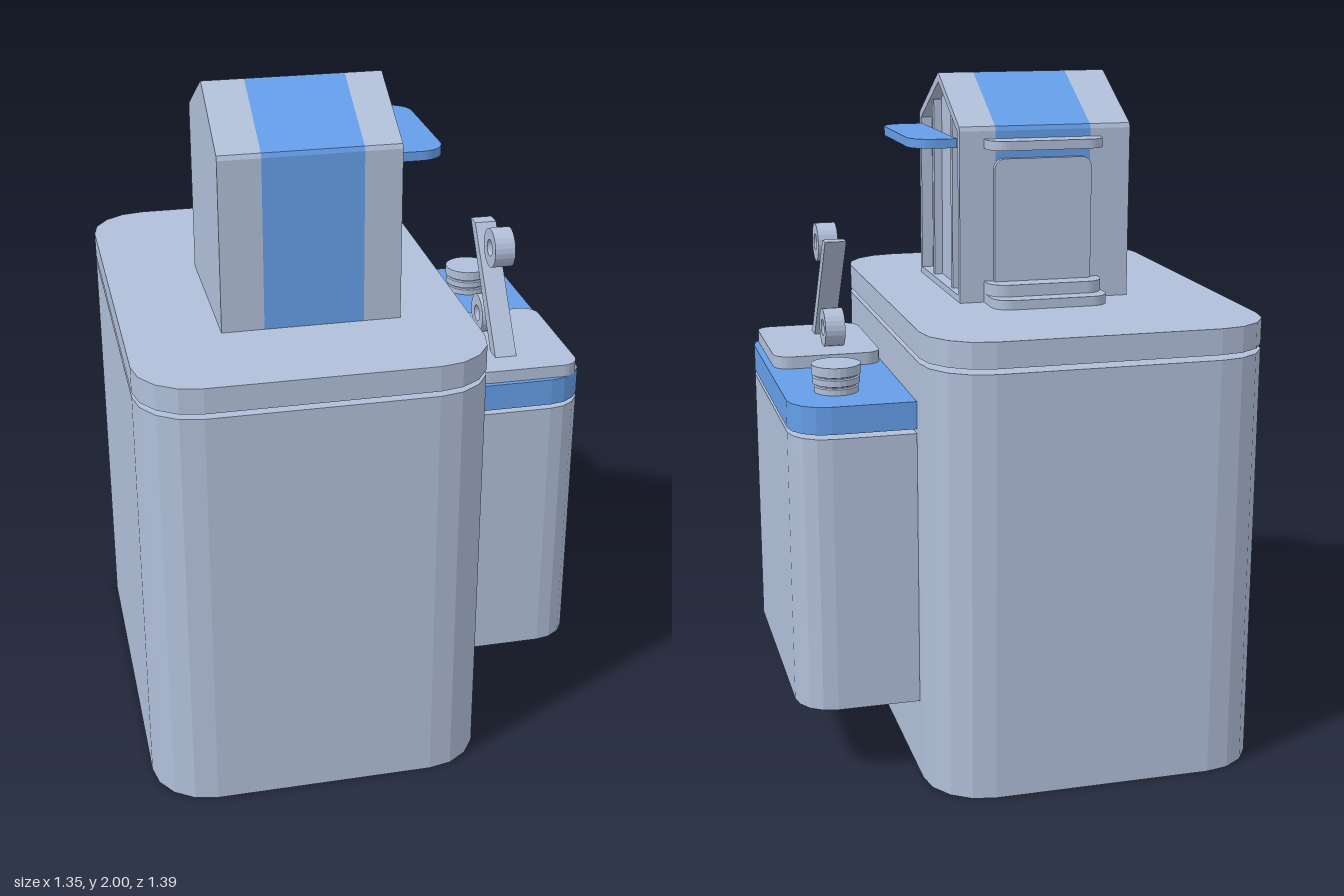
import * as THREE from 'three';

const grey = new THREE.MeshStandardMaterial({ color: 0xb1bfd9 });
const blue = new THREE.MeshStandardMaterial({ color: 0x659ee8 });
const greyOpen = new THREE.MeshStandardMaterial({ color: 0xb1bfd9, side: THREE.DoubleSide });

// Rectangle outline with corner radii: [lower left, lower right, upper right, upper left]
function roundedRect(a0, a1, b0, b1, [ll, lr, ur, ul]) {
  const s = new THREE.Shape();
  const P = Math.PI;
  const corner = (x, y, r, start) => {
    if (r > 0) s.absarc(x, y, r, start, start + P / 2, false);
    else s.lineTo(x, y);
  };
  s.moveTo(a0 + ll, b0);
  s.lineTo(a1 - lr, b0);
  corner(a1 - lr, b0 + lr, lr, -P / 2);
  corner(a1 - ur, b1 - ur, ur, 0);
  corner(a0 + ul, b1 - ul, ul, P / 2);
  corner(a0 + ll, b0 + ll, ll, P);
  return s;
}

const extrude = (shape, depth, curveSegments = 4) =>
  new THREE.ExtrudeGeometry(shape, { depth, bevelEnabled: false, curveSegments });

// Horizontal slab; radii run front left, front right, back right, back left as seen from the front
function slabGeometry(x0, x1, y0, y1, z0, z1, radii, segments = 4) {
  return extrude(roundedRect(x0, x1, -z1, -z0, radii), y1 - y0, segments)
    .rotateX(-Math.PI / 2).translate(0, y0, 0);
}

// Side profile given as [z, y] points, extruded along x
function profileGeometry(shape, x0, x1, segments) {
  return extrude(shape, x1 - x0, segments).rotateY(Math.PI / 2).translate(x0, 0, 0);
}
const zyPoints = (pts) => pts.map(([z, y]) => new THREE.Vector2(-z, y));

// Remove the downward faces of a solid, leaving it open below
function openBottom(geo) {
  const n = geo.attributes.normal, p = geo.attributes.position, keep = [];
  for (let i = 0; i < p.count; i += 3) {
    if (n.getY(i) < -0.9) continue;
    for (let k = i; k < i + 3; k++) keep.push(p.getX(k), p.getY(k), p.getZ(k));
  }
  const out = new THREE.BufferGeometry();
  out.setAttribute('position', new THREE.Float32BufferAttribute(keep, 3));
  out.computeVertexNormals();
  return out;
}

export function createModel() {
  const model = new THREE.Group();
  model.name = 'platformWithHouse';
  const add = (name, geo, mat = grey, parent = model) => {
    const m = new THREE.Mesh(geo, mat);
    m.name = name;
    parent.add(m);
  };
  const box = (x0, x1, y0, y1, z0, z1) => new THREE.BoxGeometry(x1 - x0, y1 - y0, z1 - z0)
    .translate((x0 + x1) / 2, (y0 + y1) / 2, (z0 + z1) / 2);

  // Main block, open underneath, with floating cap
  const R = [0.175, 0.175, 0.175, 0.175];
  add('mainBlock', openBottom(slabGeometry(-0.675, 0.323, 0, 1.255, -0.697, 0.697, R, 2)), greyOpen);
  add('mainCap', slabGeometry(-0.675, 0.323, 1.27, 1.345, -0.697, 0.697, R, 2));

  // Lower side block, open underneath, with its blue cap
  const S = [0, 0.11, 0.11, 0];
  add('sideBlock', openBottom(slabGeometry(0.324, 0.675, 0.23, 1.045, -0.488, 0.43, S, 2)), greyOpen);
  add('sideCap', slabGeometry(0.324, 0.675, 1.058, 1.138, -0.488, 0.43, S, 2), blue);

  // House: gabled solid in bands along x, with a recessed open gable on the left
  const house = new THREE.Group();
  house.name = 'house';
  model.add(house);
  const gable = [[0.35, 1.345], [0.35, 1.85], [0.344, 1.863], [0.095, 1.998], [0.088, 2], [0.081, 1.998],
    [-0.173, 1.863], [-0.178, 1.85], [-0.178, 1.345]];
  const gableShape = () => new THREE.Shape(zyPoints(gable));
  add('houseRightBand', profileGeometry(gableShape(), -0.398, -0.275), grey, house);
  add('houseStripe', profileGeometry(gableShape(), -0.275, 0.014), blue, house);
  add('houseLeftBand', profileGeometry(gableShape(), 0.014, 0.087), grey, house);
  const frame = gableShape();
  frame.holes.push(new THREE.Path(zyPoints([[0.327, 1.365], [-0.155, 1.365],
    [-0.155, 1.845], [0.088, 1.973], [0.327, 1.845]])));
  add('gableFrame', profileGeometry(frame, 0.087, 0.122), grey, house);
  for (const z of [0.203, -0.036])
    add('gablePost', box(0.083, 0.112, 1.36, 1.912, z - 0.011, z + 0.011), grey, house);

  // Awning over the gable side
  add('sideAwning', slabGeometry(0.122, 0.257, 1.8, 1.827, -0.146, 0.315, [0, 0.07, 0.07, 0]), blue, house);

  // Back door with steps and a small canopy
  const door = extrude(roundedRect(-0.275, 0.02, 1.4, 1.77, [0, 0, 0.03, 0.03]), 0.018)
    .translate(0, 0, -0.196);
  add('backDoor', door, grey, house);
  const B = [0, 0, 0.055, 0.055];
  add('lowerStep', slabGeometry(-0.303, 0.048, 1.345, 1.373, -0.31, -0.178, B), grey, house);
  add('upperStep', slabGeometry(-0.303, 0.048, 1.373, 1.408, -0.256, -0.178, B), grey, house);
  add('backCanopy', slabGeometry(-0.303, 0.048, 1.8, 1.827, -0.256, -0.178, B), grey, house);

  // Lever on its base plate, with two ring rollers
  const lever = new THREE.Group();
  lever.name = 'lever';
  model.add(lever);
  add('leverPlate', slabGeometry(0.33, 0.655, 1.138, 1.175, -0.022, 0.415, [0.05, 0.05, 0.05, 0.05]), grey, lever);
  const arm = new THREE.Shape(zyPoints([[0.323, 1.173], [0.27, 1.173], [0.025, 1.51], [0.072, 1.51]]));
  add('leverArm', profileGeometry(arm, 0.423, 0.488), grey, lever);
  for (const [z, y] of [[0.21, 1.481], [0.11, 1.231]]) {
    const ring = new THREE.Shape().absarc(-z, y, 0.059, 0, Math.PI * 2, false);
    ring.holes.push(new THREE.Path().absarc(-z, y, 0.025, 0, Math.PI * 2, true));
    add('leverRing', profileGeometry(ring, 0.427, 0.488, 12), grey, lever);
  }

  // Ribbed round knob
  const knob = [[0, 1.136], [0.064, 1.136], [0.064, 1.155], [0.06, 1.158], [0.06, 1.161], [0.068, 1.164],
    [0.068, 1.182], [0.063, 1.185], [0.063, 1.188], [0.071, 1.191], [0.071, 1.219], [0, 1.219]];
  const knobGeo = new THREE.LatheGeometry(knob.map(([r, y]) => new THREE.Vector2(r, y)), 24)
    .toNonIndexed();
  knobGeo.computeVertexNormals();
  add('knob', knobGeo.translate(0.52, 0, -0.308));

  return model;
}
